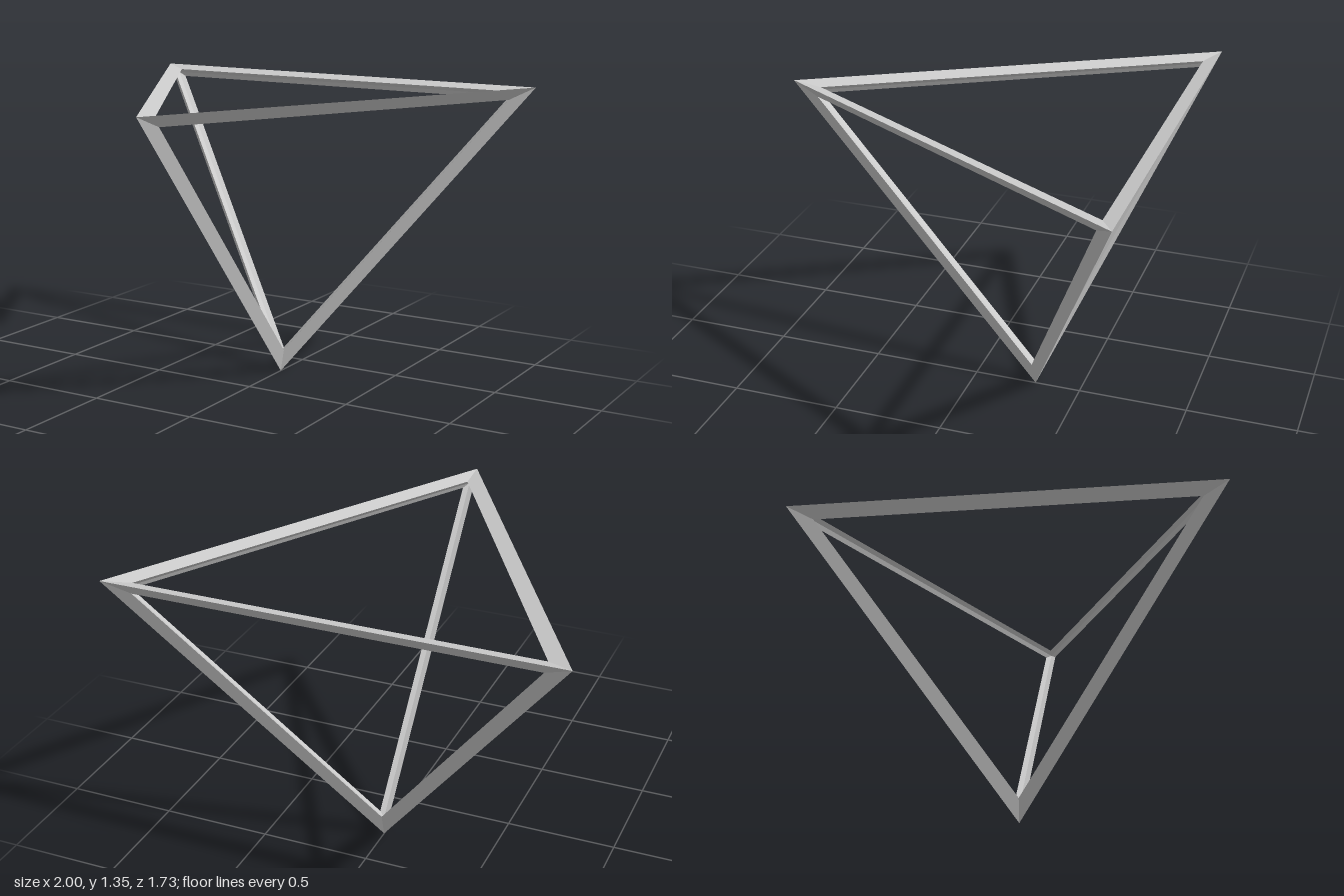
import * as THREE from 'three';

const v = (x, y, z) => new THREE.Vector3(x, y, z);

export function createModel() {
  const group = new THREE.Group();
  group.name = 'invertedPyramidFrame';
  const material = new THREE.MeshStandardMaterial({ color: 0xcccccc, flatShading: true });

  // Outer corners: a level triangle on top, one apex below
  const outer = [v(-1, 1.355, -0.866), v(1, 1.355, -0.866), v(0, 1.355, 0.866), v(0, 0.005, -0.289)];

  // Shrinking about the incentre moves every face inward by the same depth
  const inradius = 0.381;
  const centre = v(0, 1.355 - inradius, -0.289);
  const shrink = (depth) => outer.map((p) => p.clone().lerp(centre, depth / inradius));
  const depth = 0.0168;
  const middle = shrink(depth);
  const inner = shrink(2 * depth);

  // Window corner at a in the middle face a-b-c, at equal distance from both edges
  const width = 0.04;
  const inset = (a, b, c) => {
    const p = middle[a];
    const u = middle[b].clone().sub(p).normalize();
    const w = middle[c].clone().sub(p).normalize();
    const sinHalf = u.distanceTo(w) / 2;
    return u.add(w).setLength(width / sinHalf).add(p);
  };

  // Four-sided bar along one edge, mitred where it meets its neighbours
  const addBar = (name, a, b, c, d) => {
    const from = (i) => outer[i].clone().sub(outer[a]);
    if (from(c).cross(from(d)).dot(from(b)) < 0) [c, d] = [d, c];
    const ring = (s, t) => [outer[s], inset(s, t, c), inner[s], inset(s, t, d)];
    const start = ring(a, b);
    const end = ring(b, a);
    const points = [];
    for (let i = 0; i < 4; i++) {
      const j = (i + 1) % 4;
      points.push(start[i], start[j], end[j], start[i], end[j], end[i]);
    }
    const geometry = new THREE.BufferGeometry().setFromPoints(points);
    geometry.computeVertexNormals();
    const mesh = new THREE.Mesh(geometry, material);
    mesh.name = name;
    group.add(mesh);
  };

  // Top triangle
  addBar('topBackBar', 0, 1, 2, 3);
  addBar('topLeftBar', 1, 2, 0, 3);
  addBar('topRightBar', 2, 0, 1, 3);
  // Legs down to the apex
  addBar('rightLeg', 0, 3, 1, 2);
  addBar('leftLeg', 1, 3, 0, 2);
  addBar('frontLeg', 2, 3, 0, 1);

  return group;
}
